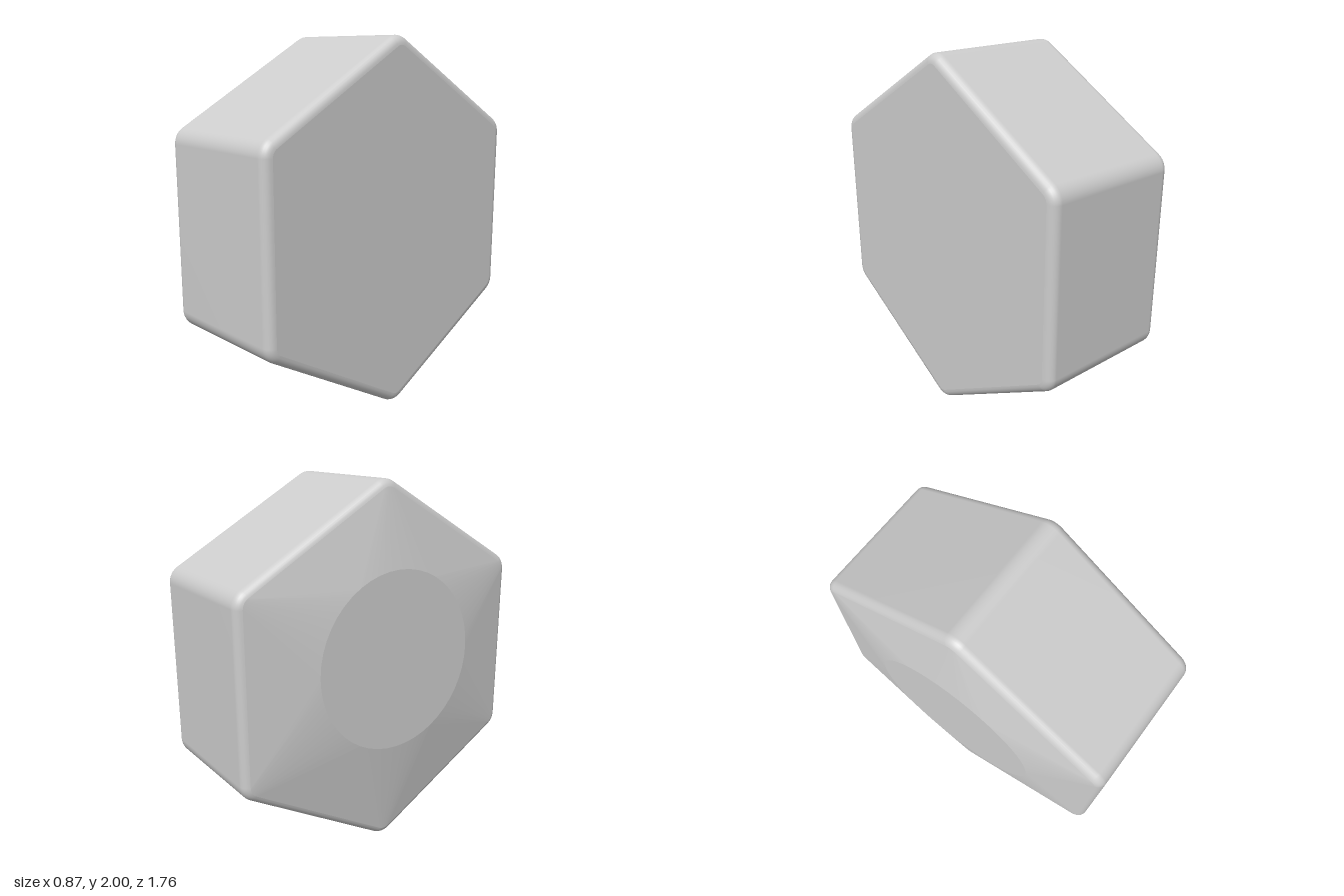
import * as THREE from 'three';

const APOTHEM = 0.88, CORNER = 0.1, BEVEL = 0.05, SEG = 8;

// Rounded hexagon across the x axis (a circle when corner equals apothem)
function ring(x, apothem, corner, dy = 0, dz = 0) {
  const pts = [];
  const reach = (apothem - corner) / Math.cos(Math.PI / 6);
  for (let c = 0; c < 6; c++) {
    const mid = c * Math.PI / 3;
    for (let s = 0; s <= SEG; s++) {
      const t = mid + (s / SEG - 0.5) * Math.PI / 3;
      pts.push([x, 1 + dy + reach * Math.cos(mid) + corner * Math.cos(t),
        dz + reach * Math.sin(mid) + corner * Math.sin(t)]);
    }
  }
  return pts;
}

// Skin joining rings ordered from -x to +x
function loft(rings) {
  const n = rings[0].length, index = [];
  for (let r = 0; r < rings.length - 1; r++) {
    for (let i = 0; i < n; i++) {
      const a = r * n + i, b = r * n + (i + 1) % n;
      index.push(a, b, b + n, a, b + n, a + n);
    }
  }
  return build(rings.flat(), index);
}

// Flat cap facing +x (side 1) or -x (side -1)
function cap(pts, side) {
  const n = pts.length, index = [];
  const centre = [0, 1, 2].map(k => pts.reduce((sum, p) => sum + p[k], 0) / n);
  for (let i = 0; i < n; i++) {
    const j = (i + 1) % n;
    index.push(n, side > 0 ? i : j, side > 0 ? j : i);
  }
  return build([...pts, centre], index);
}

function build(points, index) {
  const g = new THREE.BufferGeometry();
  g.setAttribute('position', new THREE.Float32BufferAttribute(points.flat(), 3));
  g.setIndex(index);
  g.computeVertexNormals();
  return g;
}

export function createModel() {
  const group = new THREE.Group();
  const grey = new THREE.MeshStandardMaterial({ color: 0xcccccc });
  grey.name = 'light grey';
  const add = (name, geometry) => {
    const mesh = new THREE.Mesh(geometry, grey);
    mesh.name = name;
    group.add(mesh);
  };

  // Hexagonal wall with a rounded bevel at both rims
  const bevelRing = (x, dir, angle) => {
    const inset = BEVEL * (1 - Math.cos(angle));
    return ring(x + dir * BEVEL * Math.sin(angle), APOTHEM - inset, CORNER - inset);
  };
  const wall = [], steps = 6;
  for (let s = steps; s >= 0; s--) wall.push(bevelRing(-0.31, -1, s / steps * 1.31));
  for (let s = 0; s <= steps; s++) wall.push(bevelRing(0.385, 1, s / steps * Math.PI / 2));
  add('hexagonWall', loft(wall));
  add('flatFace', cap(wall[wall.length - 1], 1));

  // Shallow slope rising to a round, slightly off-centre disc
  const disc = ring(-0.435, 0.49, 0.49, 0.065, 0.015);
  add('slopedShoulder', loft([disc, wall[0]]));
  add('roundFace', cap(disc, -1));

  return group;
}
